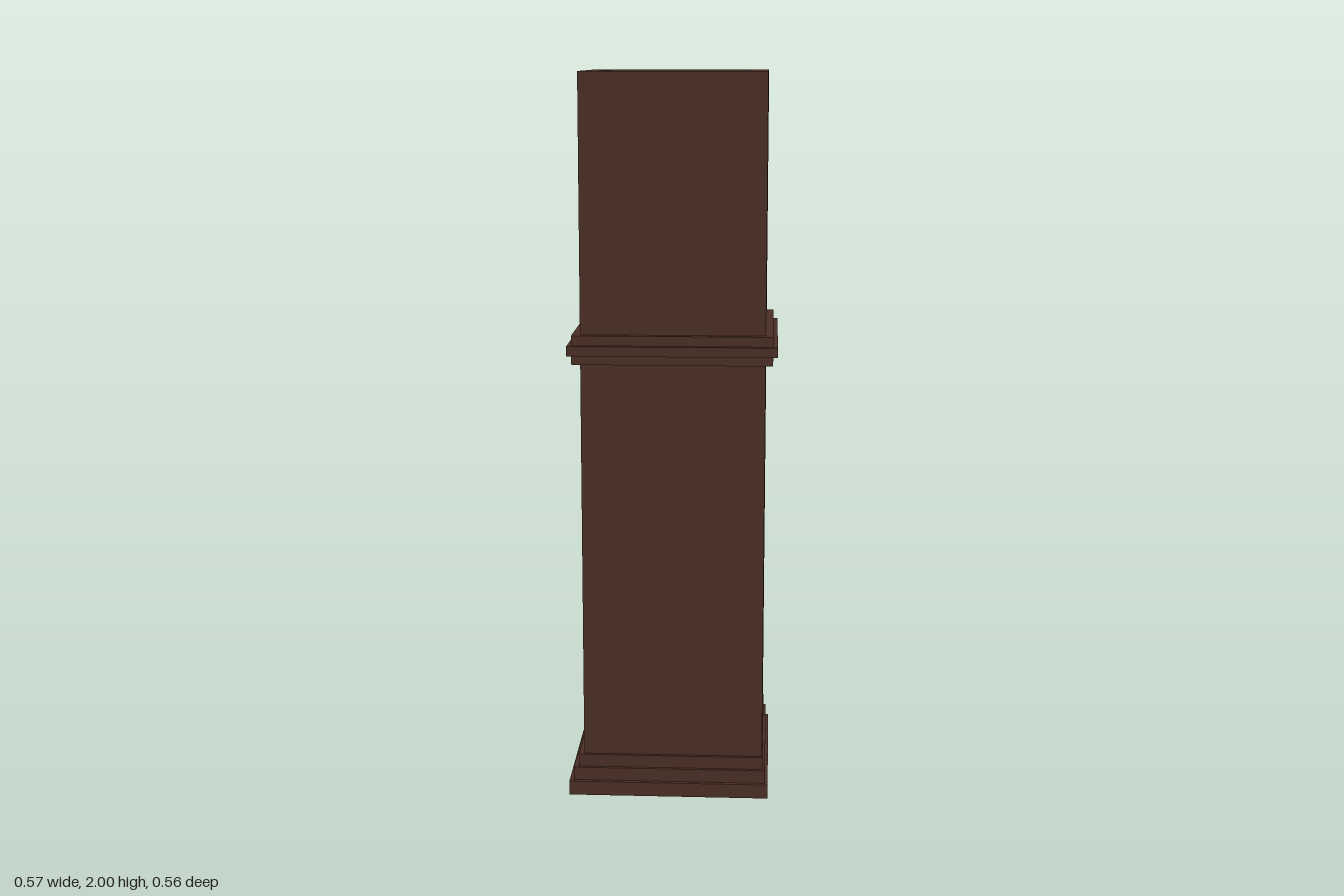
import * as THREE from 'three';

const material = (name, color) => {
  const m = new THREE.MeshStandardMaterial({ color });
  m.name = name;
  return m;
};

export function createModel() {
  const wood = material('dark wood', 0x4a2e24);
  const brass = material('brass', 0xcb994b);
  const white = material('dial white', 0xcdcacc);
  const black = material('rim black', 0x1c1714);

  const clock = new THREE.Group();
  clock.name = 'longcaseClock';

  const add = (name, geometry, mat, x = 0, y = 0, z = 0) => {
    const mesh = new THREE.Mesh(geometry, mat);
    mesh.name = name;
    mesh.position.set(x, y, z);
    clock.add(mesh);
    return mesh;
  };

  // Box given by its x range, y range and half depth in z
  const slab = (name, x0, x1, y0, y1, hz) =>
    add(name, new THREE.BoxGeometry(x1 - x0, y1 - y0, hz * 2), wood, (x0 + x1) / 2, (y0 + y1) / 2, 0);

  const rect = (Type, hw, y0, y1) => new Type([
    new THREE.Vector2(-hw, y0), new THREE.Vector2(hw, y0),
    new THREE.Vector2(hw, y1), new THREE.Vector2(-hw, y1)]);

  // Case layer facing +x, pierced by rectangular windows
  const caseLayer = (name, x0, x1, windows) => {
    const shape = rect(THREE.Shape, 0.25, 0.02, 1.975);
    for (const [y0, y1] of windows) shape.holes.push(rect(THREE.Path, 0.162, y0, y1));
    const geometry = new THREE.ExtrudeGeometry(shape, { depth: x1 - x0, bevelEnabled: false });
    geometry.rotateY(Math.PI / 2);
    add(name, geometry, wood, x0);
  };

  // Hollow case: shallow dial window above, deep pendulum chamber below
  const back = -0.246, front = 0.254;
  const dialWindow = [1.393, 1.917], pendulumWindow = [0.5, 1.135];
  caseLayer('caseFront', front - 0.085, front, [dialWindow, pendulumWindow]);
  caseLayer('caseMiddle', back + 0.05, front - 0.085, [pendulumWindow]);
  caseLayer('caseBack', back, back + 0.05, []);

  // Raised rim around the sunken top
  const rim = rect(THREE.Shape, 0.25, -0.25, 0.25);
  rim.holes.push(rect(THREE.Path, 0.2, -0.2, 0.2));
  const rimGeometry = new THREE.ExtrudeGeometry(rim, { depth: 0.025, bevelEnabled: false });
  rimGeometry.rotateX(-Math.PI / 2);
  add('topRim', rimGeometry, wood, (back + front) / 2, 1.975);

  // Stepped plinth
  slab('plinthBottom', -0.286, 0.271, 0, 0.04, 0.281);
  slab('plinthMiddle', -0.274, 0.263, 0.04, 0.077, 0.269);
  slab('plinthTop', -0.261, 0.256, 0.077, 0.112, 0.259);

  // Waist moulding
  slab('waistLower', -0.268, 0.274, 1.225, 1.25, 0.27);
  slab('waistMiddle', -0.28, 0.286, 1.25, 1.277, 0.282);
  slab('waistUpper', -0.268, 0.274, 1.277, 1.304, 0.27);

  // Ten-sided discs facing +x, a corner pointing up
  const disc = (name, r, thickness, mat, x, y, sides = 10) => {
    const geometry = new THREE.CylinderGeometry(r, r, thickness, sides).toNonIndexed();
    geometry.rotateY(Math.PI / 2);
    geometry.rotateZ(-Math.PI / 2);
    geometry.computeVertexNormals();
    add(name, geometry, mat, x, y);
  };
  disc('dialRim', 0.148, 0.03, black, 0.183, 1.643);
  disc('dialFace', 0.141, 0.006, white, 0.2, 1.644);
  disc('dialHub', 0.032, 0.006, wood, 0.205, 1.642);

  // Small winding hole on the dial
  disc('windingHole', 0.009, 0.004, black, 0.202, 1.573);
  clock.children[clock.children.length - 1].position.z = -0.092;

  // Pendulum
  const pendulumX = 0.135;
  add('pendulumRod', new THREE.CylinderGeometry(0.02, 0.02, 0.38, 10), brass, pendulumX, 0.95);
  disc('pendulumBob', 0.084, 0.045, brass, pendulumX, 0.759, 12);

  return clock;
}
